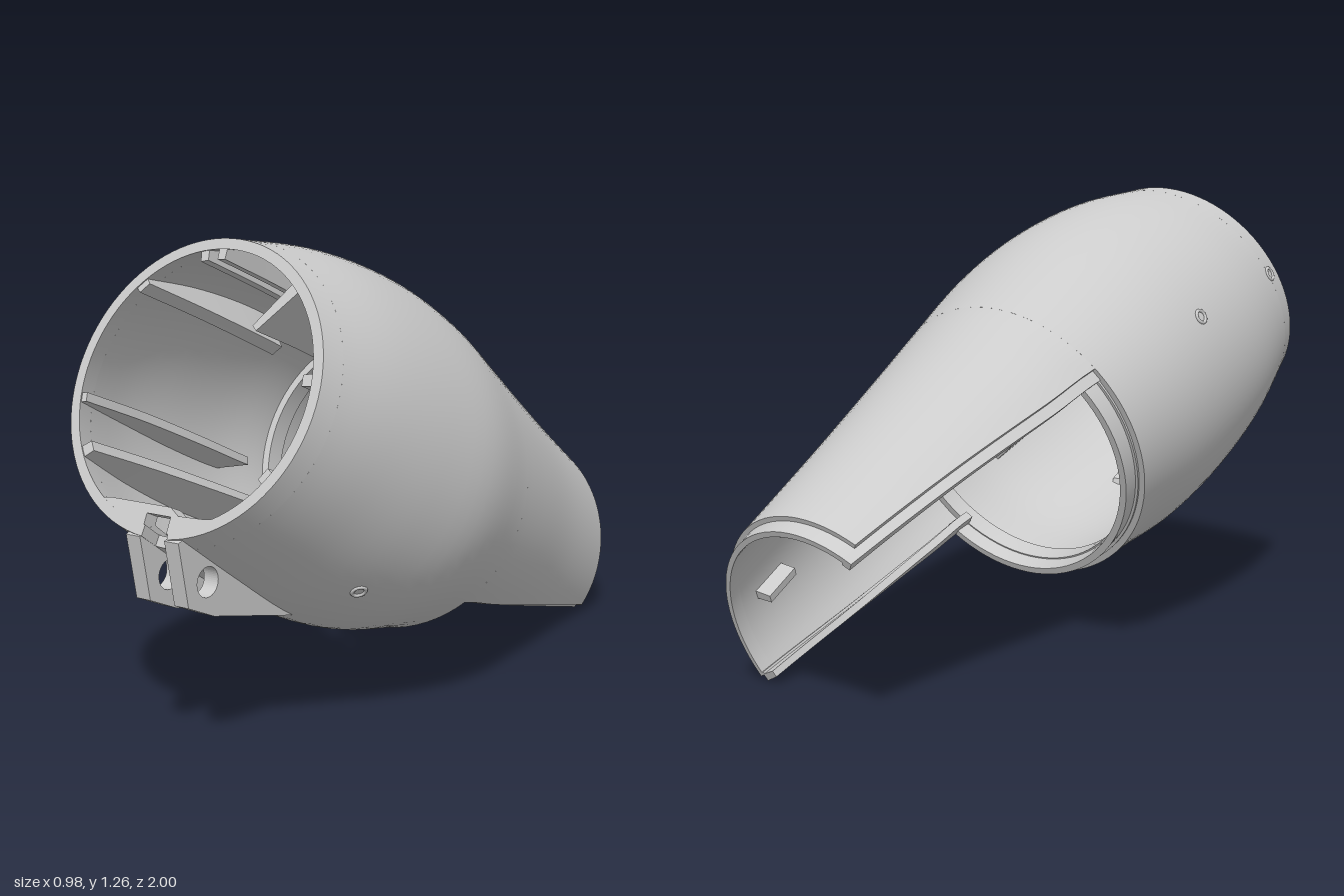
import * as THREE from 'three';
import { mergeGeometries, toCreasedNormals } from 'three/addons/utils/BufferGeometryUtils.js';

const mat = new THREE.MeshStandardMaterial({ color: 0xcccccc, side: THREE.DoubleSide });
const RAD = Math.PI / 180;
const TILT = 24.2 * RAD;
const WALL = -0.028;

// Cross-sections along the sleeve axis: [s, centreX, centreY, radiusX, radiusY, diagonal skew]
const SECTIONS = [
  [-0.72, -0.145, 0.48, 0.37, 0.37, 0.012],
  [-0.35, -0.1, 0.485, 0.4, 0.4, 0.016],
  [0, -0.055, 0.495, 0.44, 0.425, 0.022],
  [0.2, -0.025, 0.505, 0.455, 0.438, 0.026],
  [0.45, -0.003, 0.492, 0.485, 0.473, 0.02],
  [0.66, 0, 0.492, 0.475, 0.473, 0.01],
  [0.9, 0, 0.492, 0.442, 0.437, 0],
  [1.14, 0.005, 0.48, 0.383, 0.378, 0],
];

// Smooth interpolation of the cross-section at s
function section(s) {
  const n = SECTIONS.length;
  let i = 0;
  while (i < n - 2 && s > SECTIONS[i + 1][0]) i++;
  const slope = (k, c) => {
    const a = SECTIONS[Math.max(k - 1, 0)], b = SECTIONS[Math.min(k + 1, n - 1)];
    return (b[c] - a[c]) / (b[0] - a[0]);
  };
  const A = SECTIONS[i], B = SECTIONS[i + 1], h = B[0] - A[0], t = (s - A[0]) / h;
  return [1, 2, 3, 4, 5].map((c) =>
    A[c] * (2 * t ** 3 - 3 * t * t + 1) + B[c] * (3 * t * t - 2 * t ** 3) +
    h * (slope(i, c) * (t ** 3 - 2 * t * t + t) + slope(i + 1, c) * (t ** 3 - t * t)));
}

// Point on the sleeve at axis position s, angle a (degrees) and offset from the skin
function point(s, a, off) {
  const [cx, cy, rx, ry, skew] = section(s);
  const r = off - skew * Math.sin(2 * a * RAD);
  return [cx + (rx + r) * Math.cos(a * RAD), cy + (ry + r) * Math.sin(a * RAD), s];
}

// Grid surface; its front faces along p x q
function sheet(f, np, nq, flip) {
  const pos = [], idx = [];
  for (let i = 0; i <= np; i++) for (let j = 0; j <= nq; j++) pos.push(...f(i / np, j / nq));
  for (let i = 0; i < np; i++) for (let j = 0; j < nq; j++) {
    const a = i * (nq + 1) + j, b = a + nq + 1;
    if (flip) idx.push(a, b + 1, b, a, a + 1, b + 1);
    else idx.push(a, b, b + 1, a, b + 1, a + 1);
  }
  const g = new THREE.BufferGeometry();
  g.setAttribute('position', new THREE.Float32BufferAttribute(pos, 3));
  g.setIndex(idx);
  return g;
}

// Solid piece of wall between two axis positions, two angles and two offsets
function band(name, s0, s1, a0, a1, outer, inner) {
  const at = (v, s) => (typeof v === 'function' ? v(s) : v);
  const P = (u, w, r) => {
    const s = s0 + (s1 - s0) * u;
    const a = at(a0, s) + (at(a1, s) - at(a0, s)) * w;
    return point(s, a, at(inner, s) + (outer - at(inner, s)) * r);
  };
  const ns = Math.max(2, Math.ceil((s1 - s0) / 0.05));
  const na = Math.max(1, Math.ceil((at(a1, s0) - at(a0, s0)) / 4));
  const parts = [
    sheet((p, q) => P(q, p, 1), na, ns, false),
    sheet((p, q) => P(q, p, 0), na, ns, true),
    sheet((p, q) => P(1, q, p), 1, na, false),
    sheet((p, q) => P(0, q, p), 1, na, true),
  ];
  if (at(a1, s0) - at(a0, s0) < 359.9) {
    parts.push(sheet((p, q) => P(p, 1, q), ns, 1, false), sheet((p, q) => P(p, 0, q), ns, 1, true));
  }
  return named(name, toCreasedNormals(mergeGeometries(parts), 0.5));
}

function named(name, geometry) {
  const m = new THREE.Mesh(geometry, mat);
  m.name = name;
  return m;
}

export function createModel() {
  const model = new THREE.Group();
  model.name = 'hollowSleeve';
  const sleeve = new THREE.Group();
  sleeve.name = 'tiltedSleeve';
  sleeve.rotation.x = -TILT;
  model.add(sleeve);

  // Edges of the open rear half
  const CUT = 0.196, REAR = -0.68;
  const low = (s) => -24 - 20 * (s + 0.7) / 0.87;
  const high = (s) => 121 + 21 * (s + 0.7) / 0.87;

  // Bulging front, notched at its rim for the hinge
  sleeve.add(band('frontBulb', CUT, 1.08, 0, 360, 0, WALL));
  sleeve.add(band('frontRim', 1.08, 1.14, -82.5, 265.5, 0, WALL));

  // Rear half shell
  sleeve.add(band('rearHalfShell', REAR, CUT, low, high, 0, WALL));

  // Stepped joining lips around the opening
  const LIP = -0.013;
  sleeve.add(band('rearLip', -0.72, REAR, low, high, LIP, WALL));
  sleeve.add(band('bulbLip', 0.14, CUT, high, (s) => low(s) + 360, -0.026, -0.046));
  sleeve.add(band('lowerEdgeLip', -0.72, CUT, (s) => low(s) - 1.5, low, LIP, WALL - 0.008));
  sleeve.add(band('lowerEdgeFlange', -0.72, CUT, (s) => low(s) - 4.5, (s) => low(s) - 1, -0.03, -0.08));
  sleeve.add(band('upperEdgeLip', -0.72, CUT, high, (s) => high(s) + 4, LIP, WALL - 0.008));

  // Inner ring where the bulb meets the half shell
  sleeve.add(band('innerRing', 0.19, 0.25, 0, 360, WALL + 0.01, -0.05));

  // Inner rails with a straight inner edge: [angle, width in degrees, edge radius, rear end]
  [
    [102, 4, 0.325, 0.35], [93, 4, 0.325, 0.35],
    [49, 5, 0.21, 0.43], [8, 5, 0.32, 0.6],
    [-34, 6, 0.33, 0.5], [135, 6, 0.335, 0.55],
    [190, 4, 0.335, 0.45], [214, 5, 0.32, 0.35],
  ].forEach(([a, w, r, s]) =>
    sleeve.add(band('innerRail', s, 1.135, a - w / 2, a + w / 2, WALL + 0.01, (t) => r - section(t)[3])));

  // Small gussets inside the rear end
  [5, 60, 95].forEach((a) =>
    sleeve.add(band('rearGusset', -0.62, -0.5, a - 2, a + 2, WALL + 0.01, -0.08)));

  // Screw hole rims
  [[1.09, 162], [1.08, 231], [0.67, -52], [0.64, 154]].forEach(([s, a]) => {
    const p = new THREE.Vector3(...point(s, a, 0));
    const ds = new THREE.Vector3(...point(s + 0.01, a, 0)).sub(p);
    const da = new THREE.Vector3(...point(s, a + 1, 0)).sub(p);
    const rim = named('screwHoleRim', new THREE.TorusGeometry(0.018, 0.005, 8, 20));
    rim.position.copy(p);
    rim.quaternion.setFromUnitVectors(new THREE.Vector3(0, 0, 1), da.cross(ds).normalize());
    sleeve.add(rim);
  });

  // Flat hinge seat across the bottom of the rim, with a central notch
  const seat = new THREE.Shape();
  const arc = (a) => seat.lineTo(0.365 * Math.cos(a * RAD), 0.48 + 0.365 * Math.sin(a * RAD));
  seat.moveTo(-0.15, 0.183);
  for (let a = 236; a <= 265.5; a += 5.9) arc(a);
  seat.lineTo(-0.028, 0.16);
  seat.lineTo(0.048, 0.16);
  for (let a = 277.5; a <= 304; a += 5.2) arc(a);
  seat.lineTo(0.15, 0.168);
  seat.lineTo(0.07, 0.165);
  seat.lineTo(0.04, 0.183);
  const seatMesh = named('hingeSeat', new THREE.ExtrudeGeometry(seat, { depth: 0.04, bevelEnabled: false }));
  seatMesh.position.z = 1.099;
  sleeve.add(seatMesh);

  // Pair of hinge lugs with a pin hole
  const lug = new THREE.Shape([
    [1, 0.56], [0.97, 0.395], [0.88, 0.355], [0.58, 0.285], [0.6, 0.34], [0.8, 0.46], [0.95, 0.58],
  ].map(([z, y]) => new THREE.Vector2(z, y)));
  const hole = new THREE.Path();
  hole.absarc(0.9, 0.445, 0.038, 0, Math.PI * 2, true);
  lug.holes.push(hole);
  [-0.028, 0.095].forEach((x) => {
    const m = named('hingeLug', new THREE.ExtrudeGeometry(lug, { depth: 0.045, bevelEnabled: false, curveSegments: 24 }));
    m.rotation.y = -Math.PI / 2;
    m.position.x = x;
    model.add(m);
  });

  return model;
}
